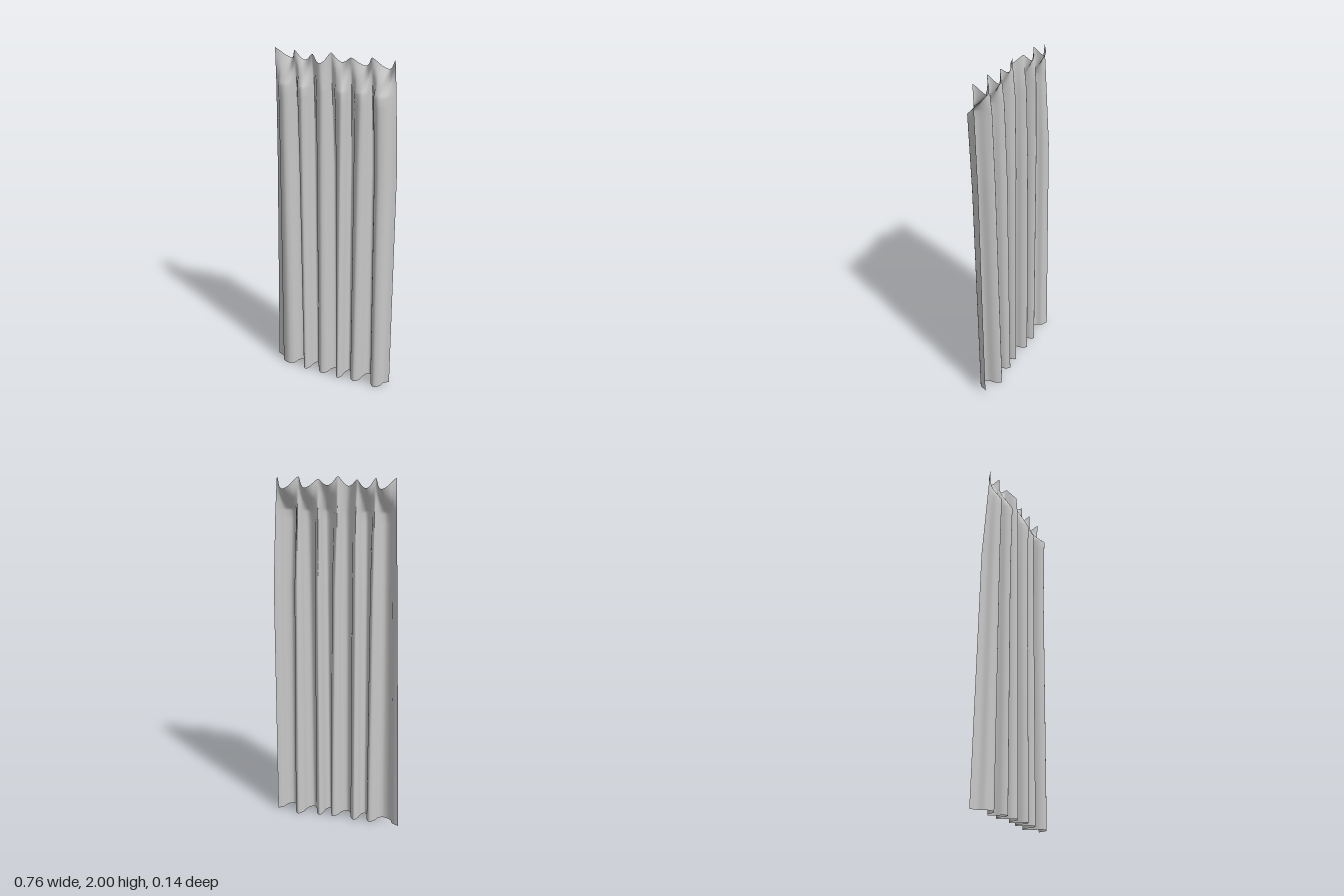
import * as THREE from 'three';

const make = (xs, ys, zs) => xs.map((x, i) => new THREE.Vector3(x, Array.isArray(ys) ? ys[i] : ys, zs[i]));

// Levels from the hem up to the gathered heading. "back" holds the side hems and pleat valleys,
// "front" the pleat crests, "near" and "far" how far across the flank its two bends lie.
const levels = [
  { // hem
    near: 0.38, far: 0.58,
    back: make([-0.38, -0.2, -0.108, 0.025, 0.107, 0.237, 0.376], 0, [-0.04, -0.042, -0.046, -0.041, -0.05, -0.07, -0.04]),
    front: make([-0.275, -0.155, -0.045, 0.067, 0.168, 0.3], 0, [0.03, 0.044, 0.042, 0.048, 0.038, 0.04]),
  },
  { // middle
    near: 0.34, far: 0.56,
    back: make([-0.335, -0.199, -0.104, 0.012, 0.107, 0.228, 0.365], 1.4, [-0.033, -0.03, -0.033, -0.03, -0.035, -0.04, -0.03]),
    front: make([-0.257, -0.147, -0.04, 0.074, 0.174, 0.288], 1.4, [0.037, 0.05, 0.042, 0.05, 0.043, 0.055]),
  },
  { // bulge below the heading
    near: 0.25, far: 0.52,
    back: make([-0.316, -0.2, -0.1, 0.002, 0.108, 0.221, 0.35], 1.81, [-0.012, -0.02, -0.022, -0.018, -0.022, -0.024, -0.012]),
    front: make([-0.248, -0.14, -0.035, 0.08, 0.18, 0.28], 1.81, [0.042, 0.058, 0.043, 0.058, 0.046, 0.072]),
  },
  { // heading: hook points with sagging cloth between
    near: 0.25, far: 0.6,
    back: make([-0.31, -0.2, -0.1, 0.002, 0.11, 0.22, 0.34], [2, 1.995, 1.985, 2, 1.985, 1.995, 1.995], [0, 0, 0, 0, 0, 0, 0]),
    front: make([-0.238, -0.155, -0.045, 0.055, 0.175, 0.295], [1.945, 1.945, 1.95, 1.955, 1.942, 1.935],
      [-0.045, -0.024, 0.035, -0.015, -0.04, -0.052]),
  },
];

// One cross-section: rounded valleys and crests joined by steep flanks
function section({ back, front, near, far }) {
  const flank = (v, c, across, depth) => {
    const p = v.clone().lerp(c, depth);
    p.x = THREE.MathUtils.lerp(v.x, c.x, across);
    return p;
  };
  const pts = [back[0]];
  front.forEach((c, i) => {
    const [a, b] = [back[i], back[i + 1]];
    pts.push(flank(a, c, near, 0.27), flank(a, c, far, 0.77), c, flank(b, c, far, 0.77), flank(b, c, near, 0.27), b);
  });
  return new THREE.CatmullRomCurve3(pts);
}

function clothGeometry(cols, rowsPerLevel) {
  const curves = levels.map(section);
  const rows = rowsPerLevel * (curves.length - 1);
  const positions = [];
  const index = [];
  for (let i = 0; i <= cols; i++) {
    const stops = curves.map((c) => c.getPoint(i / cols));
    for (let j = 0; j <= rows; j++) {
      const k = Math.min(Math.floor(j / rowsPerLevel), stops.length - 2);
      const p = stops[k].clone().lerp(stops[k + 1], j / rowsPerLevel - k);
      positions.push(p.x, p.y, p.z);
    }
  }
  for (let i = 0; i < cols; i++) {
    for (let j = 0; j < rows; j++) {
      const a = i * (rows + 1) + j;
      const b = a + rows + 1;
      index.push(a, b, b + 1, a, b + 1, a + 1);
    }
  }
  const geo = new THREE.BufferGeometry();
  geo.setAttribute('position', new THREE.Float32BufferAttribute(positions, 3));
  geo.setIndex(index);
  geo.computeVertexNormals();
  return geo;
}

export function createModel() {
  const group = new THREE.Group();
  group.name = 'curtain';
  const fabric = new THREE.MeshStandardMaterial({ color: 0xc8c8c8, side: THREE.DoubleSide });
  fabric.name = 'grey fabric';
  const cloth = new THREE.Mesh(clothGeometry(180, 8), fabric);
  cloth.name = 'pleatedCloth';
  group.add(cloth);
  return group;
}
